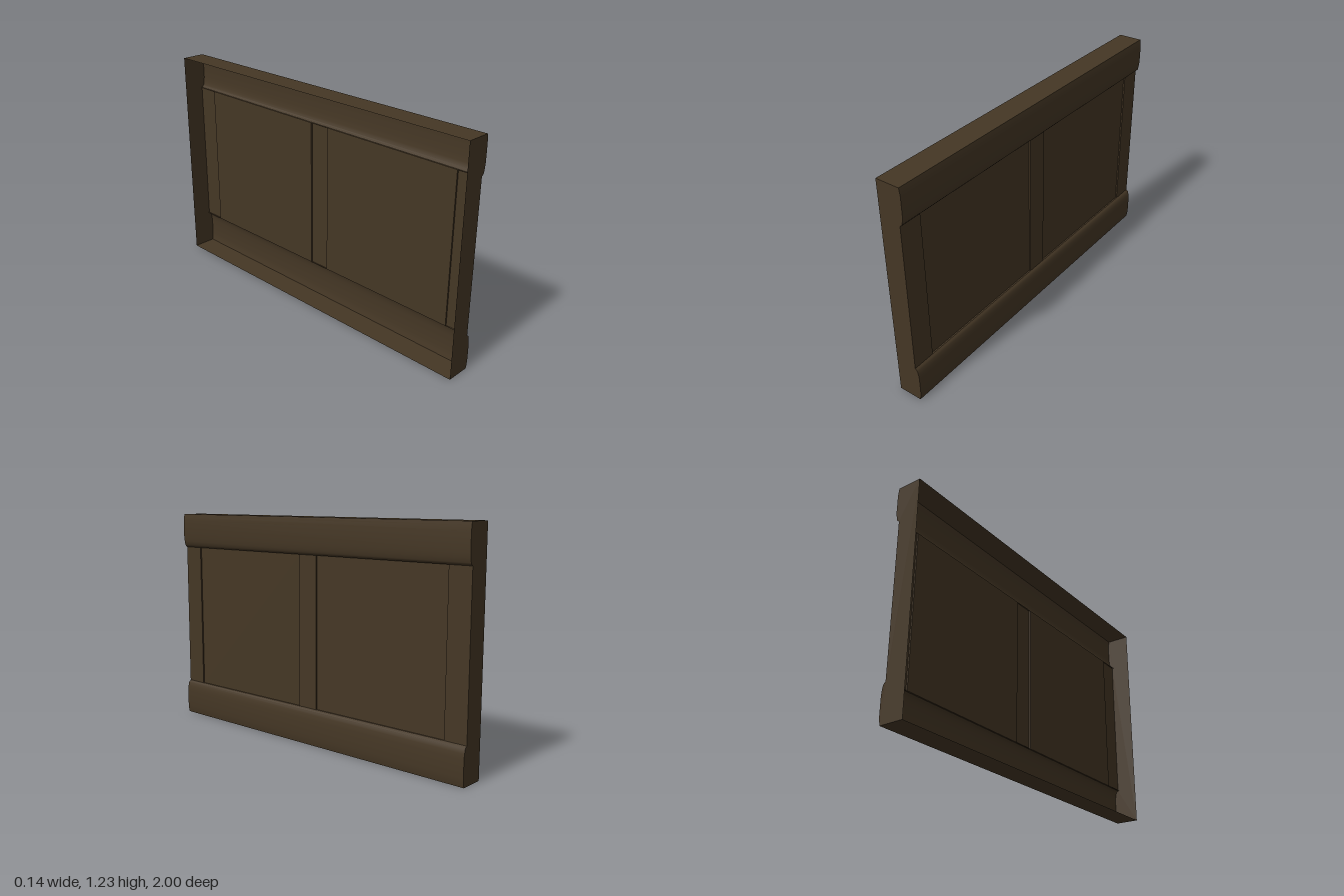
import * as THREE from 'three';
import { toCreasedNormals } from 'three/addons/utils/BufferGeometryUtils.js';

const BACK = -0.07, FACE = 0.047, RECESS = 0.039;
const HEIGHT = 1.228, LOW = 0.2, HIGH = 1.03, HALF = 1;

// Open sheet swept from a path of [a, b] points; place(a, b, t) gives x, y, z
function sheet(path, place) {
  const g = new THREE.PlaneGeometry(1, 1, path.length - 1, 1);
  for (let row = 0; row < 2; row++) {
    path.forEach(([a, b], i) => {
      g.attributes.position.setXYZ(row * path.length + i, ...place(a, b, row));
    });
  }
  return toCreasedNormals(g, 0.5);
}

export function createModel() {
  const group = new THREE.Group();
  const wood = new THREE.MeshStandardMaterial({ color: 0x453725, side: THREE.DoubleSide });
  wood.name = 'dark wood';

  const add = (name, geometry) => {
    const mesh = new THREE.Mesh(geometry, wood);
    mesh.name = name;
    group.add(mesh);
    return mesh;
  };

  // Moulded rail profiles, bottom to top
  const lower = [
    [BACK, 0], [0.061, 0], [0.065, 0.02], [0.068, 0.045], [0.068, 0.14],
    [0.065, 0.165], [0.06, 0.187], [0.055, 0.194], [FACE, LOW],
  ];
  const upper = [
    [FACE, HIGH], [0.056, 1.037], [0.061, 1.044], [0.065, 1.066], [0.068, 1.09],
    [0.068, 1.185], [0.065, 1.21], [0.062, HEIGHT], [BACK, HEIGHT],
  ];
  const alongZ = (x, y, row) => [x, y, row ? -HALF : HALF];
  add('bottomRail', sheet([...lower, [RECESS, LOW]], alongZ));
  add('topRail', sheet([[RECESS, HIGH], ...upper], alongZ));

  // Stiles and recessed panels between the rails, as [z, x] runs
  const upright = (z, x, row) => [x, row ? LOW : HIGH, z];
  const stile = (name, z0, z1) => add(name, sheet([[z0, FACE], [z1, FACE]], upright));
  stile('frontStile', 1, 0.875);
  stile('middleStile', 0.06, -0.06);
  stile('rearStile', -0.875, -1);
  for (const [name, z0, z1] of [['frontPanel', 0.875, 0.06], ['rearPanel', -0.06, -0.875]]) {
    add(name, sheet([[z0, FACE], [z0, RECESS], [z1, RECESS], [z1, FACE]], upright));
  }

  // End walls follow the full profile; the rear side stays open
  for (const side of [1, -1]) {
    const outline = [...lower, ...upper].map(([x, y]) => new THREE.Vector2(x * side, y));
    const end = add(side > 0 ? 'frontEnd' : 'rearEnd',
      new THREE.ShapeGeometry(new THREE.Shape(outline)));
    end.position.z = side * HALF;
    if (side < 0) end.rotation.y = Math.PI;
  }

  return group;
}
